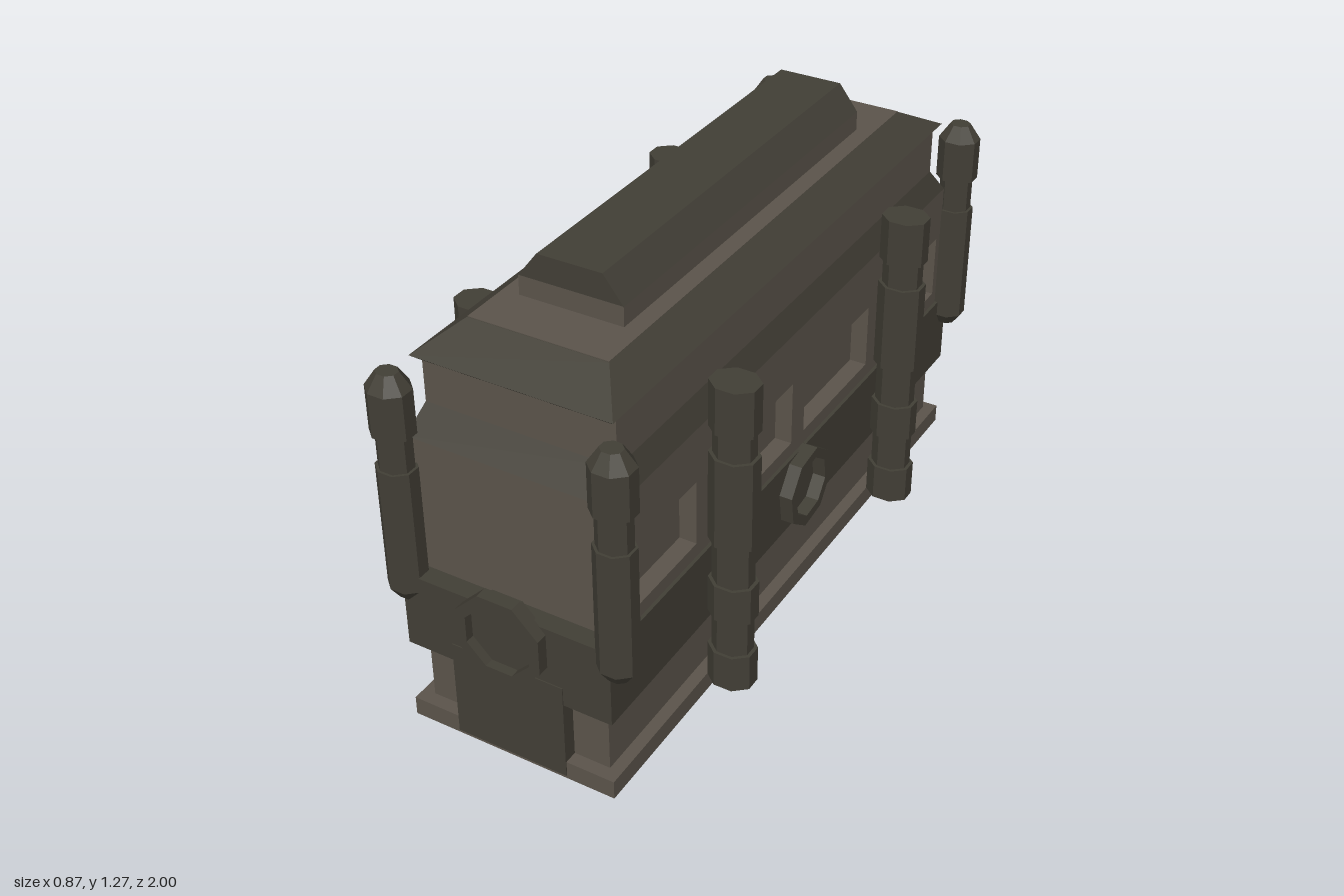
import * as THREE from 'three';

const light = new THREE.MeshStandardMaterial({ color: 0x5b544b, flatShading: true });
const dark = new THREE.MeshStandardMaterial({ color: 0x423f36, flatShading: true });

function add(parent, name, geometry, material) {
  const mesh = new THREE.Mesh(geometry, material);
  mesh.name = name;
  parent.add(mesh);
  return mesh;
}

// Box given by its limits on each axis
function block(x0, x1, y0, y1, z0, z1) {
  return new THREE.BoxGeometry(x1 - x0, y1 - y0, z1 - z0)
    .translate((x0 + x1) / 2, (y0 + y1) / 2, (z0 + z1) / 2);
}

// Box whose top has other half sizes than its bottom
function frustum(bottomX, bottomZ, topX, topZ, y0, y1) {
  const g = new THREE.BoxGeometry(2, y1 - y0, 2);
  const p = g.attributes.position;
  for (let i = 0; i < p.count; i++) {
    const top = p.getY(i) > 0;
    p.setX(i, p.getX(i) * (top ? topX : bottomX));
    p.setZ(i, p.getZ(i) * (top ? topZ : bottomZ));
  }
  g.translate(0, (y0 + y1) / 2, 0);
  g.computeVertexNormals();
  return g;
}

// Eight-sided column from [radius, height] pairs
function column(profile) {
  const points = profile.map(([r, y]) => new THREE.Vector2(r, y));
  return new THREE.LatheGeometry(points, 8, Math.PI / 8);
}

function octagon(path, r) {
  for (let i = 0; i < 8; i++) {
    const a = (i + 0.5) * Math.PI / 4;
    path[i ? 'lineTo' : 'moveTo'](r * Math.cos(a), r * Math.sin(a));
  }
  path.closePath();
  return path;
}

function ring(outer, inner, depth) {
  const shape = octagon(new THREE.Shape(), outer);
  shape.holes.push(octagon(new THREE.Path(), inner));
  return new THREE.ExtrudeGeometry(shape, { depth, bevelEnabled: false });
}

function rectangle(path, x0, x1, y0, y1) {
  path.moveTo(x0, y0);
  path.lineTo(x1, y0);
  path.lineTo(x1, y1);
  path.lineTo(x0, y1);
  path.closePath();
  return path;
}

export function createModel() {
  const model = new THREE.Group();
  model.name = 'building';
  const body = new THREE.Group();
  body.name = 'body';
  body.position.set(0.005, 0, 0.005);
  model.add(body);

  // Base slab, plinth and dark band, with an alcove at the rear
  add(body, 'baseSlab', block(-0.305, 0.305, 0, 0.055, -0.963, 0.963), light);
  add(body, 'plinth', block(-0.27, 0.27, 0.055, 0.245, -0.86, 0.925), light);
  add(body, 'band', block(-0.305, 0.305, 0.245, 0.47, -0.86, 0.963), dark);
  add(body, 'alcoveLintel', block(-0.305, 0.305, 0.32, 0.47, -0.963, -0.86), dark);
  for (const s of [-1, 1]) {
    const inner = s * 0.165;
    const span = (x) => [Math.min(inner, s * x), Math.max(inner, s * x)];
    add(body, 'rearPlinthBlock', block(...span(0.27), 0.055, 0.245, -0.935, -0.86), light);
    add(body, 'rearBandBlock', block(...span(0.305), 0.245, 0.32, -0.963, -0.86), dark);
  }
  add(body, 'frontPanel', block(-0.165, 0.165, 0.01, 0.3, 0.9, 0.966), dark);

  // Main storey: a core with window walls along both sides
  add(body, 'wallCore', block(-0.245, 0.245, 0.47, 0.855, -0.91, 0.91), light);
  for (const s of [-1, 1]) {
    const wall = rectangle(new THREE.Shape(), -0.91, 0.91, 0.47, 0.855);
    for (const [a, b] of [[-0.88, -0.54], [-0.42, -0.035], [0.035, 0.42], [0.54, 0.88]]) {
      wall.holes.push(rectangle(new THREE.Path(), a, b, 0.51, 0.7));
    }
    const g = new THREE.ExtrudeGeometry(wall, { depth: 0.05, bevelEnabled: false });
    g.rotateY(Math.PI / 2).translate(s > 0 ? 0.245 : -0.295, 0, 0);
    add(body, 'windowWall', g, light);
  }

  // Sloped shoulder, upper storey and hipped roof
  add(body, 'shoulder', frustum(0.295, 0.91, 0.27, 0.853, 0.855, 0.93), dark);
  add(body, 'upperWall', block(-0.27, 0.27, 0.93, 1.063, -0.853, 0.853), light);
  add(body, 'eaves', frustum(0.272, 0.87, 0.283, 0.885, 1.06, 1.073), dark);
  add(body, 'roofSlope', frustum(0.283, 0.885, 0.198, 0.763, 1.073, 1.14), dark);
  add(body, 'roofDeck', block(-0.197, 0.197, 1.13, 1.142, -0.762, 0.762), light);

  // Roof ridge with a bevelled cap
  add(body, 'ridgeWall', block(-0.148, 0.148, 1.14, 1.197, -0.595, 0.62), light);
  add(body, 'ridgeCap', frustum(0.148, 0.6075, 0.092, 0.6075, 1.197, 1.27).translate(0, 0, 0.0125), dark);

  // Octagonal rings on the sides and the front
  for (const s of [-1, 1]) {
    const g = ring(0.118, 0.088, 0.045);
    g.rotateZ(0.15).rotateY(s * Math.PI / 2).translate(s * 0.298, 0.36, 0);
    add(body, 'sideRing', g, dark);
  }
  add(body, 'frontRing', ring(0.133, 0.1, 0.036).translate(0, 0.4, 0.96), dark);
  add(body, 'frontRingBacking', new THREE.CylinderGeometry(0.115, 0.115, 0.03, 8)
    .rotateY(Math.PI / 8).rotateX(Math.PI / 2).translate(0, 0.4, 0.955), dark);

  // Hanging pillars at the corners
  const cornerProfile = [[0, 0.39], [0.03, 0.39], [0.056, 0.425], [0.056, 0.785], [0.048, 0.785],
    [0.048, 0.885], [0.061, 0.885], [0.061, 1.01], [0.03, 1.055], [0, 1.055]];
  // Banded pillars along the sides
  const sideProfile = [[0, 0.055], [0.058, 0.055], [0.058, 0.165], [0.049, 0.165], [0.049, 0.275],
    [0.058, 0.275], [0.058, 0.385], [0.049, 0.385], [0.049, 0.51], [0.058, 0.51], [0.058, 0.775],
    [0.049, 0.775], [0.049, 0.85], [0.058, 0.85], [0.058, 0.985], [0, 0.985]];
  for (const s of [-1, 1]) {
    for (const t of [-1, 1]) {
      const corner = add(model, 'cornerPillar', column(cornerProfile), dark);
      corner.position.set(s * 0.31 + 0.01, 0, t * 0.946);
      corner.scale.z = 0.9;
      const side = add(model, 'sidePillar', column(sideProfile), dark);
      side.position.set(s * 0.374 - 0.002, 0, t * 0.477 + 0.006);
      side.scale.x = 1.18;
    }
  }
  return model;
}
